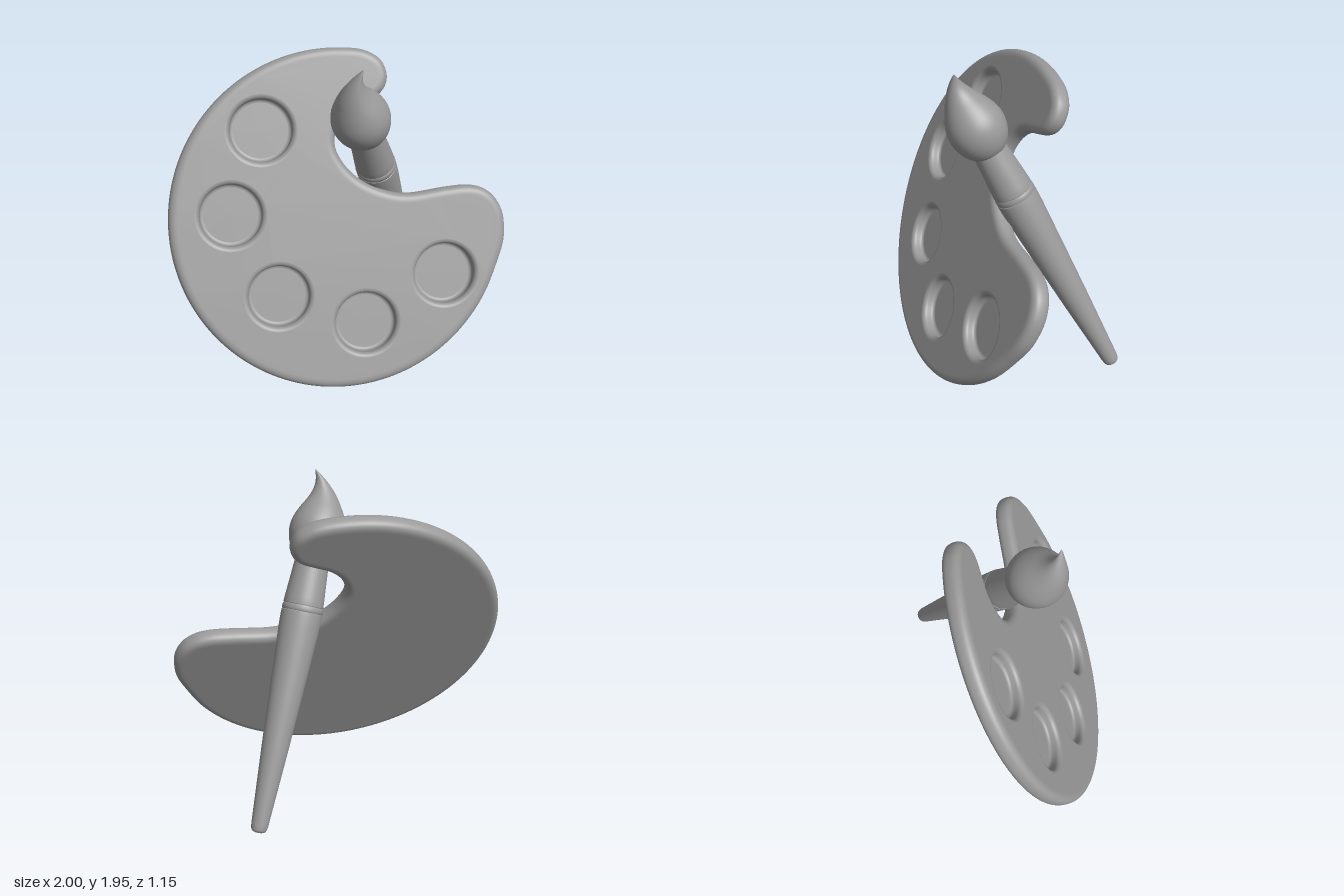
import * as THREE from 'three';
import { mergeVertices } from 'three/addons/utils/BufferGeometryUtils.js';

const material = new THREE.MeshStandardMaterial({ color: 0x999999 });
const V2 = (x, y) => new THREE.Vector2(x, y);

function addMesh(parent, name, geometry) {
  const mesh = new THREE.Mesh(geometry, material);
  mesh.name = name;
  parent.add(mesh);
  return mesh;
}

const HALF = 0.055;                       // half the board thickness
const WELL_R = 0.182, WELL_DEPTH = 0.07, RIM = 0.028, COVE = 0.02;
const WELLS = [[-0.425, 0.558], [-0.635, 0.08], [-0.39, -0.42], [0.115, -0.625], [0.61, -0.37]];

// Round board outline with a thumb notch, counter-clockwise
function outlineCurve() {
  const pts = [];
  for (let a = 80; a <= 340; a += 10) {
    const t = THREE.MathUtils.degToRad(a);
    pts.push([Math.cos(t), 1.01 * Math.sin(t)]);
  }
  pts.push([0.99, -0.21], [1, -0.12], [0.99, -0.02], [0.94, 0.075], [0.868, 0.129], [0.78, 0.15],
    [0.65, 0.147], [0.4, 0.13], [0.25, 0.17], [0.125, 0.243], [0.035, 0.35], [0, 0.455], [0.03, 0.56],
    [0.1, 0.635], [0.2, 0.682], [0.275, 0.72], [0.317, 0.765], [0.335, 0.83], [0.305, 0.92], [0.237, 0.972]);
  return new THREE.CatmullRomCurve3(pts.map(([x, y]) => new THREE.Vector3(x, y, 0)), true);
}

// Rounded, slightly squared edge swept around the outline
function edgeGeometry(frames, steps) {
  const position = [], normal = [], index = [];
  const row = steps + 1, n = frames.length;
  for (const { p, nx, ny } of frames) {
    for (let j = 0; j <= steps; j++) {
      const a = -Math.PI / 2 + Math.PI * j / steps;
      const c = Math.max(0, Math.cos(a)), s = Math.abs(Math.sin(a)), side = Math.sign(Math.sin(a));
      const out = HALF * (c ** 0.8 - 1), nc = c ** 1.2, ns = s ** 1.2, len = Math.hypot(nc, ns);
      position.push(p.x + nx * out, p.y + ny * out, side * HALF * s ** 0.8);
      normal.push(nx * nc / len, ny * nc / len, side * ns / len);
    }
  }
  for (let i = 0; i < n; i++) {
    for (let j = 0; j < steps; j++) {
      const a = i * row + j, b = ((i + 1) % n) * row + j;
      index.push(a, b, b + 1, a, b + 1, a + 1);
    }
  }
  const g = new THREE.BufferGeometry();
  g.setAttribute('position', new THREE.Float32BufferAttribute(position, 3));
  g.setAttribute('normal', new THREE.Float32BufferAttribute(normal, 3));
  g.setIndex(index);
  return g;
}

function createPalette() {
  const palette = new THREE.Group();
  palette.name = 'palette';
  const curve = outlineCurve(), count = 240, frames = [];
  for (let i = 0; i < count; i++) {
    const t = curve.getTangentAt(i / count);
    frames.push({ p: curve.getPointAt(i / count), nx: t.y, ny: -t.x });
  }
  addMesh(palette, 'paletteEdge', edgeGeometry(frames, 18));

  // Flat faces; only the front one is opened for the wells
  const face = (flip) => new THREE.Shape(
    frames.map(({ p, nx, ny }) => V2(flip * (p.x - nx * HALF), p.y - ny * HALF)));
  const front = face(1);
  for (const [x, y] of WELLS) {
    front.holes.push(new THREE.Path().absarc(x, y, WELL_R + RIM, 0, Math.PI * 2, true));
  }
  addMesh(palette, 'paletteFront', new THREE.ShapeGeometry(front, 32)).position.z = HALF;
  const back = addMesh(palette, 'paletteBack', new THREE.ShapeGeometry(face(-1)));
  back.rotation.y = Math.PI;
  back.position.z = -HALF;

  // Paint wells: softened rim, short wall and a coved flat floor
  const profile = [];
  for (let i = 0; i <= 8; i++) {
    const a = Math.PI / 2 * i / 8;
    profile.push(V2(WELL_R + RIM * (1 - Math.sin(a)), RIM * (Math.cos(a) - 1)));
  }
  for (let i = 0; i <= 6; i++) {
    const a = Math.PI / 2 * i / 6;
    profile.push(V2(WELL_R - COVE * (1 - Math.cos(a)), COVE * (1 - Math.sin(a)) - WELL_DEPTH));
  }
  const wall = new THREE.LatheGeometry(profile, 64).rotateX(Math.PI / 2);
  const floor = new THREE.CircleGeometry(WELL_R - COVE, 64);
  for (const [x, y] of WELLS) {
    addMesh(palette, 'wellWall', wall).position.set(x, y, HALF);
    addMesh(palette, 'wellFloor', floor).position.set(x, y, HALF - WELL_DEPTH);
  }
  palette.position.set(0, 0.923, 0.118);
  palette.rotation.x = -THREE.MathUtils.degToRad(25);
  return palette;
}

function createBrush() {
  const brush = new THREE.Group();
  brush.name = 'brush';
  brush.position.set(0.604, 0.046, -0.538);
  const axis = new THREE.Vector3(-0.316, 1, 0.45).normalize();
  brush.quaternion.setFromUnitVectors(new THREE.Vector3(0, 1, 0), axis);

  const turned = (name, pts) =>
    addMesh(brush, name, new THREE.LatheGeometry(pts.map(([r, y]) => V2(r, y)), 48));

  // Tapered handle with a rounded end
  turned('handle', [[0, -0.006], [0.028, -0.004], [0.04, 0.002], [0.047, 0.014], [0.051, 0.045],
    [0.064, 0.25], [0.08, 0.5], [0.095, 0.76], [0.109, 1.02], [0.119, 1.2], [0.121, 1.28], [0.12, 1.3]]);
  turned('handleShoulder', [[0.12, 1.3], [0.114, 1.304]]);

  // Metal ferrule with a crimped band at its foot
  turned('grooveCore', [[0.115, 1.295], [0.114, 1.35]]);
  turned('ferruleBand', [[0.114, 1.304], [0.12, 1.307], [0.121, 1.322], [0.119, 1.337], [0.114, 1.34]]);
  turned('ferrule', [[0.114, 1.34], [0.118, 1.344], [0.116, 1.385], [0.107, 1.505], [0.099, 1.618]]);
  turned('ferruleRim', [[0.099, 1.618], [0.085, 1.622]]);

  // Full bristle head whose tip curls to one side
  const start = 1.616, length = 0.512;
  const profile = new THREE.SplineCurve([[0.097, 0], [0.118, 0.02], [0.144, 0.06], [0.162, 0.11],
    [0.168, 0.165], [0.159, 0.22], [0.134, 0.28], [0.1, 0.34], [0.066, 0.4], [0.038, 0.45],
    [0.015, 0.49], [0, length]].map(([r, y]) => V2(r, y))).getPoints(44);
  profile.forEach((p) => { p.x = Math.max(p.x, 0); });
  let bristles = new THREE.LatheGeometry(profile, 48);
  const curl = new THREE.Vector3(0.088, 0.036, -0.021).applyQuaternion(brush.quaternion.clone().invert());
  const pos = bristles.attributes.position;
  for (let i = 0; i < pos.count; i++) {
    const k = Math.max(0, (pos.getY(i) - 0.32) / (length - 0.32)) ** 2.5;
    pos.setXYZ(i, pos.getX(i) + curl.x * k, pos.getY(i), pos.getZ(i) + curl.z * k);
  }
  bristles.deleteAttribute('uv');
  bristles.deleteAttribute('normal');
  bristles = mergeVertices(bristles, 1e-5);
  bristles.computeVertexNormals();
  addMesh(brush, 'bristles', bristles).position.y = start;
  return brush;
}

export function createModel() {
  const model = new THREE.Group();
  model.name = 'paletteAndBrush';
  model.add(createPalette(), createBrush());
  return model;
}
